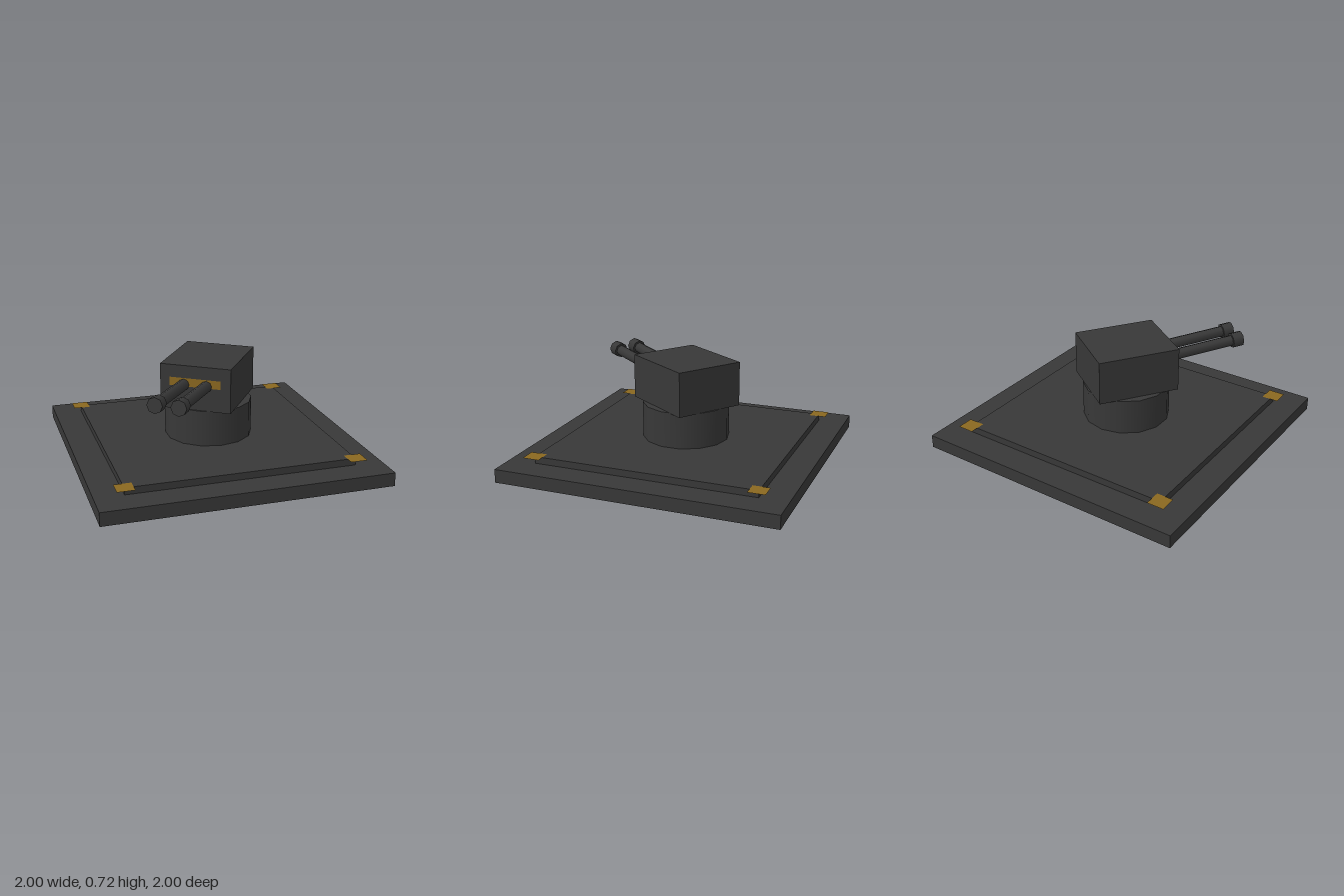
import * as THREE from 'three';

const darkMetal = new THREE.MeshStandardMaterial({ color: 0x383838 });
darkMetal.name = 'dark metal';
const amber = new THREE.MeshStandardMaterial({ color: 0x8a6820, side: THREE.DoubleSide });
amber.name = 'amber marking';

function add(parent, name, geometry, material, x, y, z) {
  const mesh = new THREE.Mesh(geometry, material);
  mesh.name = name;
  mesh.position.set(x, y, z);
  parent.add(mesh);
  return mesh;
}

export function createModel() {
  const model = new THREE.Group();
  model.name = 'turret';

  // Stepped square base
  add(model, 'basePlate', new THREE.BoxGeometry(2, 0.096, 2), darkMetal, 0, 0.048, 0);
  add(model, 'upperPlate', new THREE.BoxGeometry(1.6, 0.06, 1.6), darkMetal, 0, 0.115, 0);

  // Flat markers over the four corners of the upper plate
  for (const x of [-0.8, 0.8]) {
    for (const z of [-0.8, 0.8]) {
      const marker = new THREE.PlaneGeometry(0.12, 0.12).rotateX(-Math.PI / 2);
      add(model, 'cornerMarker', marker, amber, x, 0.148, z);
    }
  }

  // Round pedestal
  add(model, 'pedestal', new THREE.CylinderGeometry(0.313, 0.313, 0.262, 14), darkMetal, 0, 0.272, 0);

  // Turning head, aimed toward the front right
  const head = new THREE.Group();
  head.name = 'head';
  head.rotation.y = THREE.MathUtils.degToRad(-34.8);
  model.add(head);
  add(head, 'housing', new THREE.BoxGeometry(0.51, 0.318, 0.59), darkMetal, 0, 0.56, 0);
  add(head, 'frontStrip', new THREE.PlaneGeometry(0.37, 0.06), amber, 0, 0.6, 0.299);

  // Twin barrels, slightly raised, with thicker muzzles
  for (const x of [-0.081, 0.081]) {
    const gun = new THREE.Group();
    gun.name = 'gun';
    gun.position.set(x, 0.583, 0.295);
    gun.rotation.x = THREE.MathUtils.degToRad(-4);
    head.add(gun);
    const barrel = new THREE.CylinderGeometry(0.04, 0.04, 0.6, 8).rotateX(Math.PI / 2);
    add(gun, 'barrel', barrel, darkMetal, 0, 0, 0.22);
    const muzzle = new THREE.CylinderGeometry(0.055, 0.055, 0.08, 8).rotateX(Math.PI / 2);
    add(gun, 'muzzle', muzzle, darkMetal, 0, 0, 0.533);
  }
  return model;
}
